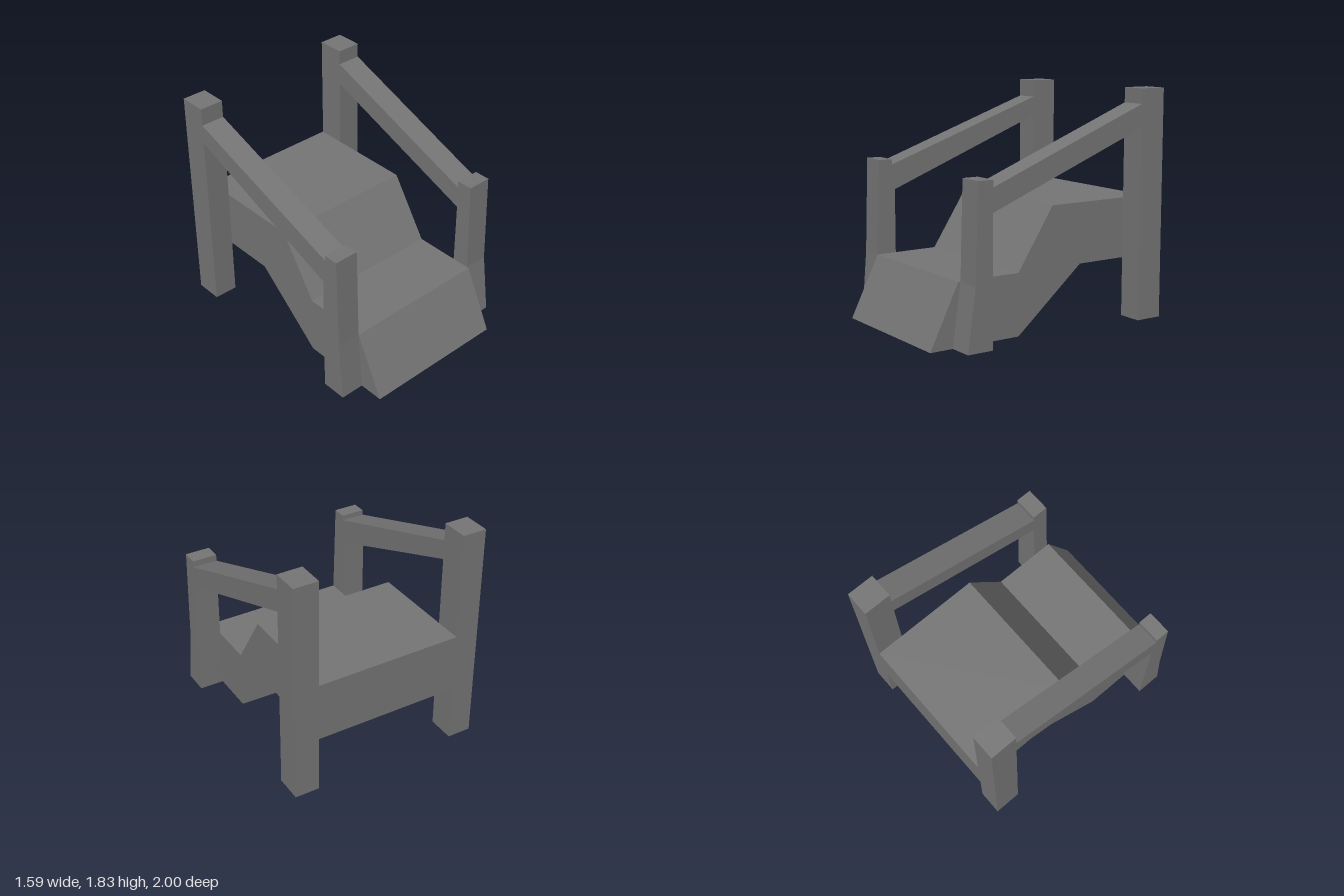
import * as THREE from 'three';

const material = new THREE.MeshStandardMaterial({ color: 0x747474, flatShading: true });

// Extrudes a side profile of [z, y] points from x0 to x1.
function sideExtrude(name, profile, x0, x1) {
  const shape = new THREE.Shape(profile.map(([z, y]) => new THREE.Vector2(z, y)));
  const geometry = new THREE.ExtrudeGeometry(shape, { depth: x1 - x0, bevelEnabled: false });
  geometry.rotateY(-Math.PI / 2);
  geometry.translate(x1, 0, 0);
  const mesh = new THREE.Mesh(geometry, material);
  mesh.name = name;
  return mesh;
}

// The two sides differ slightly, as if built by hand.
const sides = [
  {
    name: 'left', x0: 0.59, x1: 0.79,
    front: { back: 0.59, foot: 0.81, knee: 0.742, head: 0.72, top: 1.235 },
    rail: { frontTop: 1.17, backTop: 1.708 },
  },
  {
    name: 'right', x0: -0.795, x1: -0.6,
    front: { back: 0.62, foot: 0.8, knee: 0.76, head: 0.735, top: 1.243 },
    rail: { frontTop: 1.2, backTop: 1.685 },
  },
];

export function createModel() {
  const group = new THREE.Group();
  group.name = 'steps';

  // Stepped body: sloping front, low tread, riser, upper platform and slanted underside
  group.add(sideExtrude('steppedBody', [
    [0.23, 0], [1, 0], [0.76, 0.487], [0.23, 0.487], [-0.083, 0.965],
    [-0.998, 0.965], [-0.998, 0.487], [-0.35, 0.487],
  ], -0.6, 0.59));

  for (const { name, x0, x1, front, rail } of sides) {
    // Tall rear post
    group.add(sideExtrude(name + 'RearPost', [
      [-0.995, 0.017], [-0.775, 0.017], [-0.775, 1.825], [-0.995, 1.825],
    ], x0, x1));

    // Short front post with a flared foot
    group.add(sideExtrude(name + 'FrontPost', [
      [0.595, 0], [front.foot, 0], [front.knee, 0.487], [front.head, front.top],
      [front.back, front.top], [front.back, rail.frontTop], [0.595, rail.frontTop],
    ], x0, x1));

    // Sloping handrail
    group.add(sideExtrude(name + 'Handrail', [
      [-0.775, 1.527], [0.595, 1.0], [0.62, 1.0], [0.62, rail.frontTop], [-0.775, rail.backTop],
    ], x0, x1));
  }

  return group;
}
